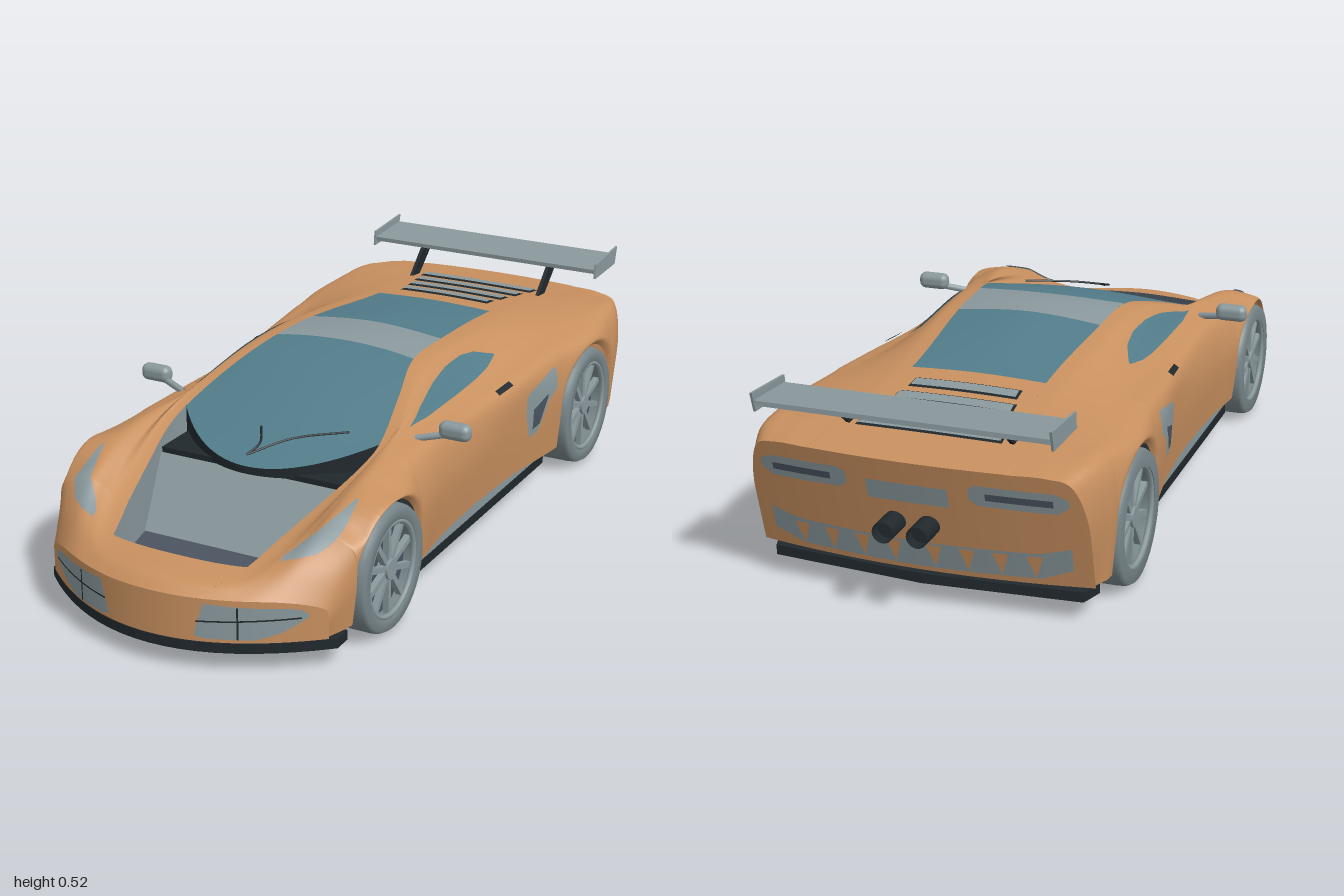
import * as THREE from 'three';
import { RoundedBoxGeometry } from 'three/addons/geometries/RoundedBoxGeometry.js';

const material = (name, color) => new THREE.MeshStandardMaterial({ name, color, side: THREE.DoubleSide });
const paint = material('orange paint', 0xc8905f);
const grey = material('grey metal', 0x8a999d);
const tyreGrey = material('tyre grey', 0x78868a);
const glass = material('tinted glass', 0x527c8a);
const dark = material('dark trim', 0x20282c);
const slate = material('slate lining', 0x4a5460);

const lerp = THREE.MathUtils.lerp;
const WHEELS = [{ z: 0.59, y: 0.16, r: 0.16, x: 0.36, w: 0.14 }, { z: -0.6, y: 0.167, r: 0.167, x: 0.372, w: 0.15 }];

// Smooth guide line through [s, value...] points, s running from nose to tail
function guide(points) {
  const slope = (i, k) => {
    const a = points[Math.max(i - 1, 0)], b = points[Math.min(i + 1, points.length - 1)];
    return (b[k] - a[k]) / (b[0] - a[0]);
  };
  return (s, k = 1) => {
    let i = 0;
    while (i < points.length - 2 && s < points[i + 1][0]) i++;
    const p = points[i], q = points[i + 1], h = q[0] - p[0];
    const t = THREE.MathUtils.clamp((s - p[0]) / h, 0, 1), t2 = t * t, t3 = t2 * t;
    return (2 * t3 - 3 * t2 + 1) * p[k] + (t3 - 2 * t2 + t) * h * slope(i, k)
      + (3 * t2 - 2 * t3) * q[k] + (t3 - t2) * h * slope(i + 1, k);
  };
}

// Guide lines of the body: [s, x, y]
const sill = guide([[1, 0.078], [0.8, 0.08], [0.4, 0.1], [-0.4, 0.1], [-0.8, 0.095], [-0.97, 0.09]]);
const waist = guide([[1, 0.385, 0.13], [0.9, 0.4, 0.17], [0.8, 0.412, 0.2], [0.59, 0.428, 0.25], [0.4, 0.42, 0.25], [0.25, 0.405, 0.25],
  [0, 0.4, 0.25], [-0.2, 0.41, 0.255], [-0.4, 0.435, 0.27], [-0.6, 0.449, 0.28], [-0.8, 0.445, 0.28], [-0.97, 0.418, 0.25]]);
const shoulder = guide([[1, 0.37, 0.16], [0.9, 0.38, 0.22], [0.75, 0.4, 0.28], [0.59, 0.405, 0.337], [0.4, 0.39, 0.35],
  [0.2, 0.38, 0.355], [0, 0.385, 0.35], [-0.3, 0.41, 0.365], [-0.6, 0.422, 0.383], [-0.85, 0.415, 0.383], [-0.97, 0.39, 0.365]]);
const belt = guide([[1, 0.3, 0.18], [0.9, 0.31, 0.245], [0.75, 0.33, 0.308], [0.59, 0.34, 0.36], [0.45, 0.335, 0.378],
  [0.3, 0.322, 0.383], [0, 0.325, 0.385], [-0.25, 0.33, 0.395], [-0.5, 0.35, 0.402], [-0.8, 0.34, 0.402], [-0.97, 0.33, 0.388]]);
const rail = guide([[1, 0.2, 0.186], [0.9, 0.25, 0.236], [0.75, 0.285, 0.29], [0.59, 0.3, 0.345], [0.45, 0.305, 0.376],
  [0.3, 0.3, 0.4], [0.1, 0.275, 0.445], [-0.05, 0.262, 0.457], [-0.25, 0.25, 0.45], [-0.5, 0.24, 0.43], [-0.8, 0.25, 0.405], [-0.97, 0.25, 0.39]]);
const edge = guide([[1, 0.12, 0.188], [0.97, 0.15, 0.207], [0.9, 0.18, 0.222], [0.75, 0.215, 0.265], [0.6, 0.25, 0.31], [0.48, 0.275, 0.347],
  [0.38, 0.28, 0.375], [0.2, 0.243, 0.437], [0.05, 0.205, 0.475], [-0.14, 0.195, 0.473], [-0.5, 0.175, 0.438], [-0.8, 0.2, 0.406], [-0.97, 0.22, 0.391]]);
const ridge = guide([[1, 0.19], [0.97, 0.212], [0.88, 0.228], [0.5, 0.34], [0.02, 0.488], [-0.14, 0.489], [-0.3, 0.473], [-0.5, 0.444], [-0.8, 0.408], [-0.97, 0.392]]);

// Bowed nose and undercut tail
function depth(s, x, y) {
  const front = Math.max(0, (s - 0.75) / 0.25), rear = Math.max(0, (-0.8 - s) / 0.17), bow = (x / 0.42) ** 2;
  return s - 0.2 * front * bow + rear * (0.04 * bow + 0.28 * (0.39 - y));
}

// Left half of the skin: t = 0 sill, 1 waist, 2 shoulder, 3 belt, 4 rail, 5 glass edge, 6 centre
function body(s, t) {
  let low = sill(s);
  for (const w of WHEELS) {
    const r = w.r + 0.01, d = Math.abs(s - w.z);
    if (d < r) low = Math.max(low, w.y + Math.sqrt(r * r - d * d));
  }
  const high = Math.max(shoulder(s, 2), low + 0.015);
  const mid = Math.max(waist(s, 2), lerp(low, high, 0.4));
  const pts = [[waist(s) - 0.012, low], [waist(s), mid], [shoulder(s), high], [belt(s), belt(s, 2)],
    [rail(s), rail(s, 2)], [edge(s), edge(s, 2)], [0, ridge(s)], [-edge(s), edge(s, 2)]];
  const p = new THREE.SplineCurve(pts.map(q => new THREE.Vector2(...q))).getPoint(t / 7);
  return new THREE.Vector3(p.x, p.y, depth(s, p.x, p.y));
}

const lifted = lift => (s, t) => {
  const p = body(s, t);
  const ds = body(s + 0.004, t).sub(p), dt = body(s, t - 0.02).sub(p).negate();
  return p.addScaledVector(dt.cross(ds).normalize(), lift);
};
const onEnd = (s, lift) => (x, y) => new THREE.Vector3(x, y, depth(s, x, y) + lift);

export function createModel() {
  const car = new THREE.Group();
  car.name = 'sportsCar';
  const add = (name, geo, mat, x = 0, y = 0, z = 0, parent = car) => {
    const m = new THREE.Mesh(geo, mat);
    m.name = name;
    m.position.set(x, y, z);
    parent.add(m);
    return m;
  };
  const box = (name, mat, w, h, d, x, y, z) => add(name, new THREE.BoxGeometry(w, h, d), mat, x, y, z);

  // Mirrored strip: rows are [a, b0, b1], placed by point(a, b)
  function strip(name, mat, rows, point, sub = 1, n = 8) {
    const fine = [];
    rows.forEach((r, i) => {
      const q = rows[i + 1];
      for (let k = 0; k < (q ? sub : 1); k++) fine.push(q ? r.map((v, c) => lerp(v, q[c], k / sub)) : r);
    });
    for (const side of [1, -1]) {
      const pos = [], idx = [];
      fine.forEach(([a, b0, b1], i) => {
        for (let j = 0; j <= n; j++) {
          const p = point(a, lerp(b0, b1, j / n));
          pos.push(p.x * side, p.y, p.z);
          if (i && j) {
            const d = i * (n + 1) + j, c = d - 1, b = d - n - 1, e = b - 1;
            if (side > 0) idx.push(e, c, b, b, c, d); else idx.push(e, b, c, b, d, c);
          }
        }
      });
      const g = new THREE.BufferGeometry();
      g.setAttribute('position', new THREE.Float32BufferAttribute(pos, 3));
      g.setIndex(idx);
      g.computeVertexNormals();
      add((side > 0 ? 'left ' : 'right ') + name, g, mat);
    }
  }
  const span = (a, b, n) => Array.from({ length: n + 1 }, (_, i) => lerp(a, b, i / n));

  // Body shell, sampled closely around the wheel arches
  const stations = span(1, -0.97, 80);
  for (const w of WHEELS) {
    for (let i = 0; i <= 24; i++) stations.push(w.z + (w.r + 0.01) * Math.cos(Math.PI * i / 24));
    stations.push(w.z + w.r + 0.011, w.z - w.r - 0.011);
  }
  stations.sort((a, b) => b - a);
  strip('body side', paint, stations.map(s => [s, 0, 5]), body, 1, 30);
  const centre = (name, mat, a, b) => strip(name, mat, span(a, b, 14).map(s => [s, 5, 6]), body);
  centre('nose top', paint, 1, 0.88);
  centre('roof panel', grey, 0.04, -0.14);
  centre('rear window', glass, -0.14, -0.5);
  centre('engine cover', paint, -0.5, -0.97);
  for (const [name, s, low] of [['front fascia', 1, 0.078], ['tail panel', -0.97, 0.09]])
    strip(name, paint, span(0, 6, 40).map(t => [t, 0, 1]), (t, v) => {
      const p = body(s, t);
      return onEnd(s, 0)(p.x, lerp(low, p.y, v));
    });

  // Windscreen, bowed between the two pillars, with a scuttle below
  const screenLine = guide([[0.55, 0.325], [0.4, 0.383], [0.25, 0.437], [0.1, 0.476], [0.02, 0.488]]);
  const screen = (v, u) => {
    const s = lerp(0.38, 0.04, v), z = lerp(0.55, 0.025, v), k = 1 - u * u;
    return new THREE.Vector3(edge(s) * u, lerp(edge(s, 2), screenLine(z), k), lerp(s, z, k));
  };
  strip('windscreen', glass, span(0, 1, 16).map(v => [v, 1, 0]), screen, 1, 12);
  strip('scuttle', dark, span(0, 1, 2).map(v => [v, 1, 0]), (v, u) => {
    const p = screen(0, u);
    p.y = lerp(0.305, p.y, v);
    return p;
  }, 1, 12);
  for (const pts of [[[0, 0.345, 0.545], [0.08, 0.372, 0.46], [0.2, 0.385, 0.385]], [[0, 0.345, 0.545], [0.01, 0.36, 0.5], [-0.02, 0.378, 0.44]]])
    add('wiper', new THREE.TubeGeometry(new THREE.CatmullRomCurve3(pts.map(p => new THREE.Vector3(p[0], p[1] + 0.01, p[2]))), 10, 0.003, 6), dark);

  // Open front luggage bay
  strip('bay wall', grey, span(0.88, 0.38, 16).map(s => [s, 0, 1]), (s, v) => {
    const p = body(s, 5);
    p.y = lerp(0.13, p.y, v);
    return p;
  }, 1, 2);
  strip('bay front wall', slate, [[5, 0, 1], [6, 0, 1]], (t, v) => {
    const p = body(0.88, t);
    p.y = lerp(0.13, p.y, v);
    return p;
  }, 6, 2);
  strip('bay floor', slate, span(0.88, 0.64, 8).map(s => [s, 0, 1]), (s, v) => new THREE.Vector3(edge(s) * v, 0.14, s));
  strip('bay back slope', grey, span(0.65, 0.52, 4).map(s => [s, 0, 1]),
    (s, v) => new THREE.Vector3(edge(s) * v, lerp(0.14, 0.3, (0.65 - s) / 0.13), s));
  box('cowl', dark, 0.53, 0.015, 0.15, 0, 0.307, 0.445);

  // Details laid on the skin
  strip('side window', glass, [[0.28, 3.3, 3.35], [0.2, 3.1, 3.7], [0.1, 3.1, 3.85], [0, 3.1, 3.9], [-0.1, 3.1, 3.85], [-0.17, 3.15, 3.7], [-0.24, 3.3, 3.35]], lifted(0.004), 4);
  strip('headlight', grey, [[0.64, 2.65, 2.75], [0.7, 2.55, 2.95], [0.76, 2.5, 3.2], [0.81, 2.6, 3.8], [0.85, 2.75, 4.05], [0.875, 3.2, 3.95]], lifted(0.004), 4);
  const intake = [[-0.22, 1.0, 1.5], [-0.245, 0.6, 1.6], [-0.29, 0.62, 1.66], [-0.34, 1.05, 1.74], [-0.385, 1.2, 1.78]];
  strip('side intake frame', grey, intake, lifted(0.004), 4);
  strip('side intake mouth', slate, intake.slice(1, 4).map(([s, a, b]) => [lerp(s, -0.29, 0.2), a + 0.12, b - 0.5]), lifted(0.007), 4);
  strip('door handle', dark, [[-0.09, 2.1, 2.3], [-0.165, 2.1, 2.3]], lifted(0.006), 4, 3);
  for (let i = 0; i < 4; i++) {
    const s = -0.585 - i * 0.072, t = 5.3 - i * 0.045;
    strip('louvre rim', dark, [[s + 0.024, t - 0.03, 6], [s - 0.024, t - 0.03, 6]], lifted(0.003), 3);
    strip('louvre', grey, [[s + 0.015, t, 6], [s - 0.019, t, 6]], lifted(0.007), 3);
  }

  // Front lamps and tail details
  const nose = lift => onEnd(1, lift), tail = lift => onEnd(-0.97, -lift);
  strip('front lamp', grey, [[0.118, 0.095, 0.1], [0.14, 0.09, 0.178], [0.25, 0.088, 0.17], [0.3, 0.105, 0.168], [0.335, 0.128, 0.163], [0.352, 0.142, 0.15]], nose(0.006), 5);
  strip('front lamp bar', dark, [[0.125, 0.132, 0.136], [0.34, 0.14, 0.144]], nose(0.009), 12, 1);
  strip('front lamp post', dark, [[0.213, 0.09, 0.172], [0.217, 0.09, 0.172]], nose(0.009), 1, 2);
  strip('tail lamp', grey, [[0.15, 0.315, 0.345], [0.17, 0.3, 0.355], [0.35, 0.295, 0.35], [0.38, 0.315, 0.335]], tail(0.006), 6);
  strip('tail lamp slot', slate, [[0.19, 0.318, 0.336], [0.345, 0.314, 0.332]], tail(0.009), 6, 2);
  strip('number plate', grey, [[0, 0.285, 0.335], [0.1, 0.285, 0.335]], tail(0.006), 3, 2);
  strip('diffuser', grey, [[0, 0.105, 0.175], [0.3, 0.11, 0.18], [0.375, 0.14, 0.2]], tail(0.006), 6);
  for (const x of [0.05, 0.13, 0.21, 0.29])
    strip('diffuser tooth', paint, [[x - 0.018, 0.17, 0.175], [x, 0.115, 0.175], [x + 0.018, 0.17, 0.175]], tail(0.014), 1, 2);

  // Underside
  const plan = [...span(0, 0.4, 10).map(x => [x, 1 - 0.2 * (x / 0.42) ** 2]), [0.4, 0.77], [0.28, 0.77], [0.28, 0.42], [0.39, 0.42],
    [0.39, -0.41], [0.28, -0.41], [0.28, -0.79], [0.41, -0.79], [0.39, -0.85], [0, -0.88]];
  const outline = [...plan, ...plan.slice(1, -1).reverse().map(([x, z]) => [-x, z])].map(p => new THREE.Vector2(...p));
  add('undertray', new THREE.ExtrudeGeometry(new THREE.Shape(outline), { depth: 0.025, bevelEnabled: false }).rotateX(Math.PI / 2), dark, 0, 0.076, 0);
  for (const w of WHEELS) box('axle beam', grey, 0.6, 0.03, 0.13, 0, 0.055, w.z);
  add('exhaust pipe', new THREE.CylinderGeometry(0.011, 0.011, 1.25, 10).rotateX(Math.PI / 2), grey, 0.04, 0.044, -0.05);
  add('catalyst', new RoundedBoxGeometry(0.07, 0.03, 0.2, 3, 0.013), grey, 0.04, 0.044, 0.05);
  add('silencer', new RoundedBoxGeometry(0.26, 0.04, 0.08, 4, 0.018), grey, 0.02, 0.046, -0.74);

  // Wheels: lathe tyre, dark dish and ten spokes
  const tyre = (r, w) => new THREE.LatheGeometry([[0.74, -0.5], [0.95, -0.5], [0.99, -0.42], [1, -0.3], [1, 0.3], [0.99, 0.42], [0.95, 0.5], [0.78, 0.5], [0.74, 0.42], [0.74, -0.5]]
    .map(([a, b]) => new THREE.Vector2(a * r, b * w)), 40).rotateZ(-Math.PI / 2);
  for (const side of [1, -1]) {
    for (const c of WHEELS) {
      const wheel = new THREE.Group();
      wheel.name = (side > 0 ? 'left ' : 'right ') + (c.z > 0 ? 'front wheel' : 'rear wheel');
      wheel.position.set(side * c.x, c.y, c.z);
      car.add(wheel);
      add('tyre', tyre(c.r, c.w), tyreGrey, 0, 0, 0, wheel);
      const dish = new THREE.CylinderGeometry(c.r * 0.75, c.r * 0.75, 0.02, 32).rotateZ(Math.PI / 2);
      add('dish', dish, slate, side * 0.025, 0, 0, wheel);
      add('hub', new THREE.CylinderGeometry(0.026, 0.026, 0.03, 16).rotateZ(Math.PI / 2), grey, side * 0.05, 0, 0, wheel);
      add('rim', new THREE.TorusGeometry(c.r * 0.74, 0.007, 8, 36).rotateY(Math.PI / 2), grey, side * c.w * 0.44, 0, 0, wheel);
      for (let i = 0; i < 10; i++)
        add('spoke', new THREE.BoxGeometry(0.016, c.r * 0.7, 0.014).translate(side * 0.05, c.r * 0.38, 0).rotateX(i * Math.PI / 5), grey, 0, 0, 0, wheel);
      const well = new THREE.CylinderGeometry(c.r + 0.005, c.r + 0.005, 0.1, 24, 1, true, 0, Math.PI).rotateZ(Math.PI / 2);
      add('wheel well', well, dark, side * 0.34, c.y, c.z);
    }
    // Skirt, mirror and exhaust tip
    box('side skirt', grey, 0.02, 0.045, 0.82, side * 0.378, 0.085, 0.005);
    add('mirror', new RoundedBoxGeometry(0.085, 0.045, 0.04, 4, 0.018), grey, side * 0.436, 0.403, 0.275);
    add('mirror arm', new THREE.TubeGeometry(new THREE.LineCurve3(new THREE.Vector3(side * 0.34, 0.375, 0.3), new THREE.Vector3(side * 0.42, 0.392, 0.275)), 1, 0.009, 8), grey);
    add('exhaust tip', new THREE.CylinderGeometry(0.026, 0.026, 0.1, 20, 1, true).rotateX(Math.PI / 2), dark, side * 0.042, 0.225, -0.95);
    add('exhaust core', new THREE.CircleGeometry(0.025, 20), dark, side * 0.042, 0.225, -0.97);

    // Wing strut and end plate
    const strut = new THREE.Shape([[-0.76, 0.4], [-0.81, 0.4], [-0.91, 0.485], [-0.85, 0.485]].map(p => new THREE.Vector2(-p[0], p[1])));
    add('wing strut', new THREE.ExtrudeGeometry(strut, { depth: 0.01, bevelEnabled: false }).rotateY(Math.PI / 2), dark, side * 0.205 - 0.005, 0, 0);
    const plate = new THREE.Shape([[0.825, 0.468], [0.98, 0.472], [0.995, 0.522], [0.83, 0.51]].map(p => new THREE.Vector2(...p)));
    add('wing end plate', new THREE.ExtrudeGeometry(plate, { depth: 0.006, bevelEnabled: false }).rotateY(Math.PI / 2), grey, side * 0.36 - 0.003, 0, 0);
  }
  box('wing blade', grey, 0.716, 0.012, 0.155, 0, 0.491, -0.91).rotation.x = 0.06;
  return car;
}
